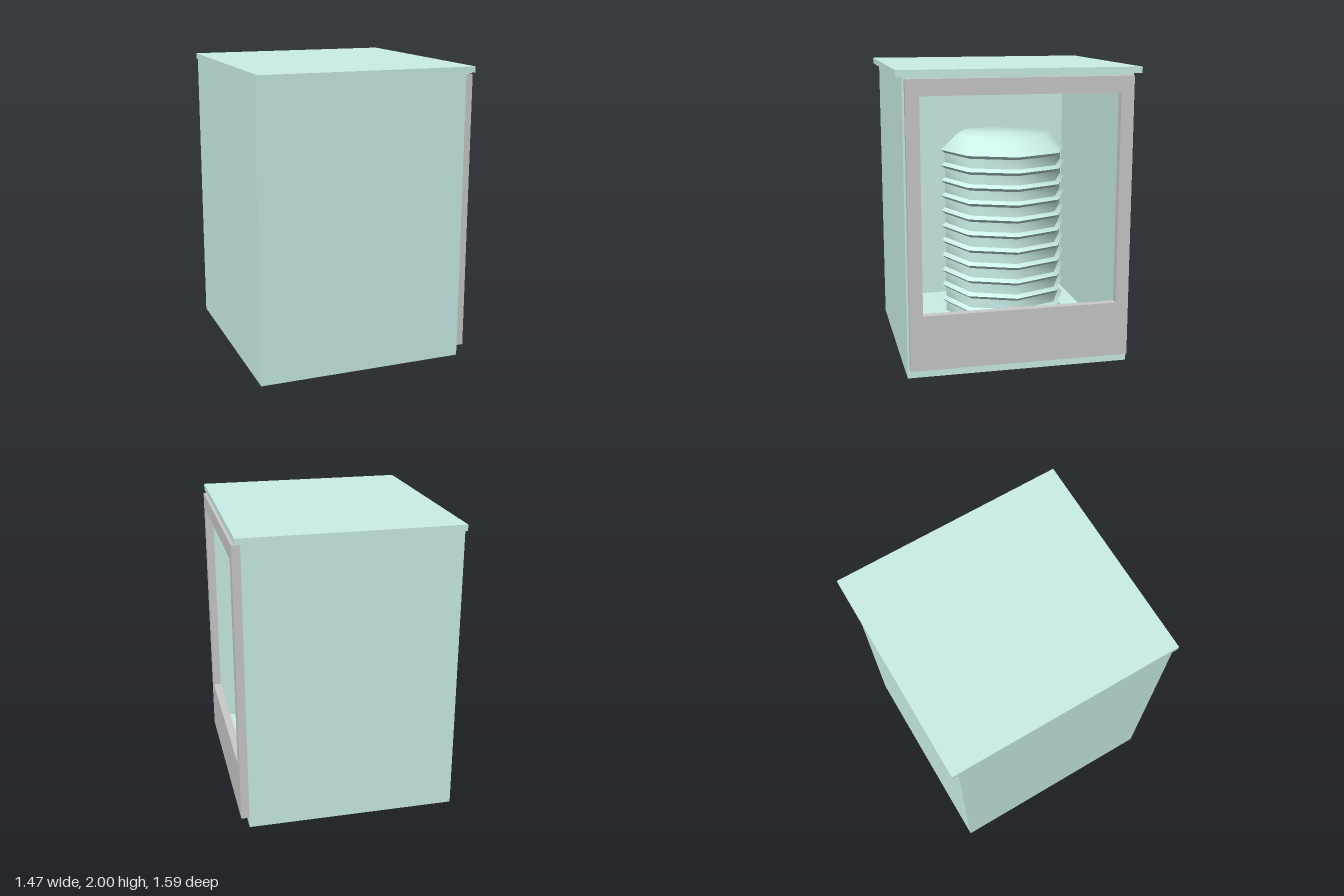
import * as THREE from 'three';
import { toCreasedNormals } from 'three/addons/utils/BufferGeometryUtils.js';

const teal = new THREE.MeshStandardMaterial({ color: 0xccf0ea });
const grey = new THREE.MeshStandardMaterial({ color: 0xcccccc });

function add(group, name, geometry, material) {
  const mesh = new THREE.Mesh(geometry, material);
  mesh.name = name;
  group.add(mesh);
  return mesh;
}

// Box given by its limits on each axis
function box([x0, x1], [y0, y1], [z0, z1]) {
  return new THREE.BoxGeometry(x1 - x0, y1 - y0, z1 - z0)
    .translate((x0 + x1) / 2, (y0 + y1) / 2, (z0 + z1) / 2);
}

function rectangle(path, halfWidth, y0, y1) {
  path.moveTo(-halfWidth, y0);
  path.lineTo(halfWidth, y0);
  path.lineTo(halfWidth, y1);
  path.lineTo(-halfWidth, y1);
  path.closePath();
  return path;
}

// Rectangular frame in the yz plane, running from x0 to x1
function frame(outer, inner, x0, x1) {
  const shape = rectangle(new THREE.Shape(), ...outer);
  shape.holes.push(rectangle(new THREE.Path(), ...inner));
  return new THREE.ExtrudeGeometry(shape, { depth: x1 - x0, bevelEnabled: false })
    .rotateY(Math.PI / 2).translate(x0, 0, 0);
}

export function createModel() {
  const model = new THREE.Group();
  model.name = 'cabinet';

  // Hollow cabinet, open towards the door
  add(model, 'cabinetWalls', frame([0.75, 0, 1.96], [0.67, 0.15, 1.86], -0.65, 0.68), teal);
  add(model, 'backPanel', box([-0.735, -0.65], [0, 1.96], [-0.75, 0.75]), teal);
  add(model, 'lid', box([-0.735, 0.72], [1.96, 2], [-0.793, 0.793]), teal);

  // Door frame with a window opening
  add(model, 'doorFrame', frame([0.737, 0.065, 1.945], [0.65, 0.435, 1.84], 0.68, 0.733), grey);

  // Eight-sided ribbed drum standing on the cabinet floor
  const floor = 0.15, top = 1.4, pitch = 0.1085, ribs = 11;
  const profile = [[0, floor], [0.42, floor]];
  for (let i = ribs; i >= 0; i--) {
    const y = top - i * pitch;
    if (y - 0.022 > floor) profile.push([0.42, y - 0.022]);
    profile.push([0.448, y]);
    if (i > 0) profile.push([0.42, y + 0.022]);
  }
  profile.push([0.33, 1.51], [0, 1.51]);
  const drum = new THREE.LatheGeometry(profile.map(([r, y]) => new THREE.Vector2(r, y)), 8);
  add(model, 'ribbedDrum', toCreasedNormals(drum, 0.82), teal).position.set(0.03, 0, -0.038);

  return model;
}
